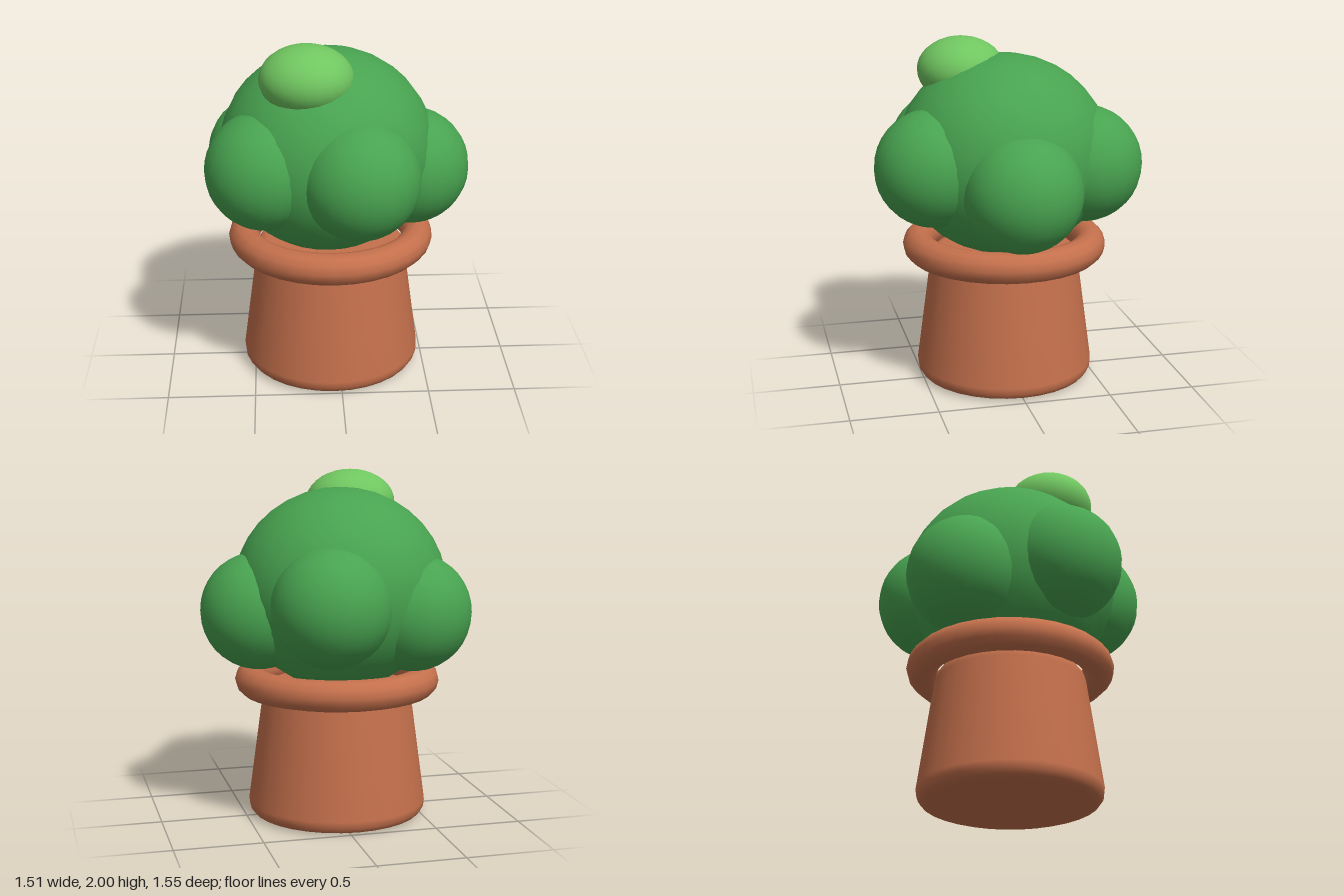
import * as THREE from 'three';

const mat = (color) => new THREE.MeshStandardMaterial({ color });

export function createModel() {
  const group = new THREE.Group();
  const clay = mat(0xc4704c);
  const green = mat(0x48a350);
  const lightGreen = mat(0x70c660);
  const cx = -0.045; // vertical axis of the pot

  const add = (name, geometry, material, x, y, z) => {
    const mesh = new THREE.Mesh(geometry, material);
    mesh.name = name;
    mesh.position.set(x, y, z);
    group.add(mesh);
    return mesh;
  };
  const ball = (name, material, [x, y, z], [rx, ry, rz]) =>
    add(name, new THREE.SphereGeometry(1, 24, 18), material, x, y, z).scale.set(rx, ry, rz);

  // Tapered pot body, wider at the foot, with rounded edges and a closed top
  const profile = [
    [0, 0], [0.46, 0], [0.495, 0.012], [0.515, 0.04], [0.52, 0.08],
    [0.434, 0.71], [0.425, 0.745], [0.405, 0.77], [0.37, 0.78], [0, 0.78],
  ].map(([r, y]) => new THREE.Vector2(r, y));
  add('potBody', new THREE.LatheGeometry(profile, 32), clay, cx, 0, 0);

  // Thick round rim
  const rim = new THREE.TorusGeometry(0.505, 0.09, 12, 32).rotateX(Math.PI / 2);
  add('potRim', rim, clay, cx, 0.8, 0);

  // Large central crown
  ball('crown', green, [-0.065, 1.33, 0], [0.615, 0.58, 0.62]);

  // Five leaf clumps evenly spaced around the crown
  [1.215, 1.305, 1.305, 1.215, 1.285].forEach((y, i) => {
    const a = (i * Math.PI * 2) / 5;
    const r = 0.337;
    ball('leafClump' + (i + 1), green, [cx + 0.46 * Math.cos(a), y, 0.46 * Math.sin(a)], [r, r, r]);
  });

  // Pale new growth on top
  ball('topTuft', lightGreen, [-0.183, 1.81, 0.222], [0.262, 0.19, 0.253]);

  return group;
}
